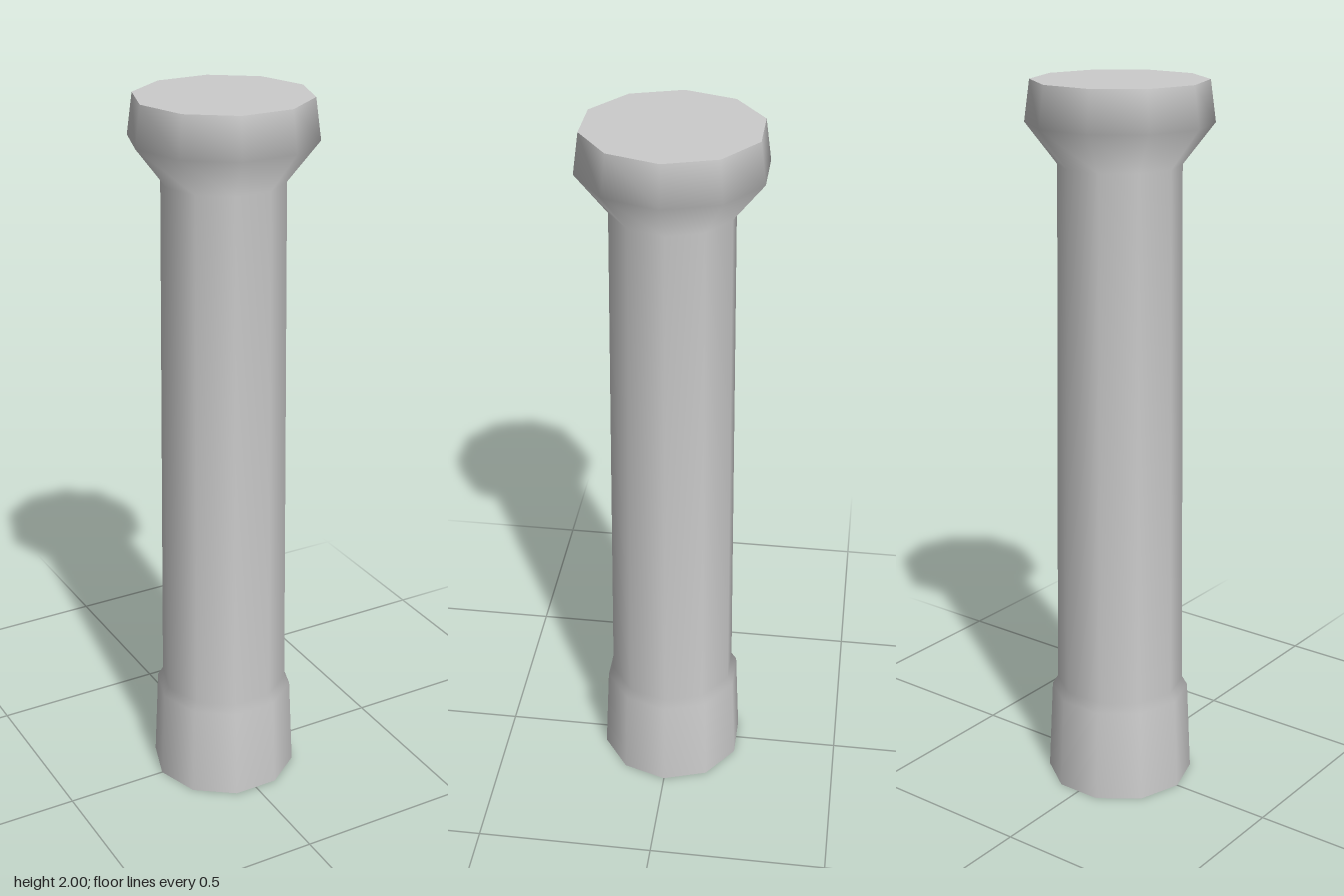
import * as THREE from 'three';

const SIDES = 10;

export function createModel() {
  const model = new THREE.Group();
  model.name = 'column';
  const material = new THREE.MeshStandardMaterial({ color: 0xcccccc });

  const add = (name, geometry, y = 0, tilt = 0) => {
    const mesh = new THREE.Mesh(geometry, material);
    mesh.name = name;
    mesh.position.y = y;
    mesh.rotation.x = tilt;
    model.add(mesh);
  };

  // Ten-sided body: flared foot, tapering shaft and wide capital, smoothly shaded
  const profile = [
    [0.208, 0], [0.196, 0.265], [0.181, 0.29],
    [0.165, 1.78], [0.25, 1.89], [0.235, 2],
  ].map(([r, y]) => new THREE.Vector2(r, y));
  add('columnBody', new THREE.LatheGeometry(profile, SIDES, Math.PI / 2));

  // Flat ends with crisp rims
  add('topFace', new THREE.CircleGeometry(0.235, SIDES), 2, -Math.PI / 2);
  add('bottomFace', new THREE.CircleGeometry(0.208, SIDES), 0, Math.PI / 2);

  return model;
}
